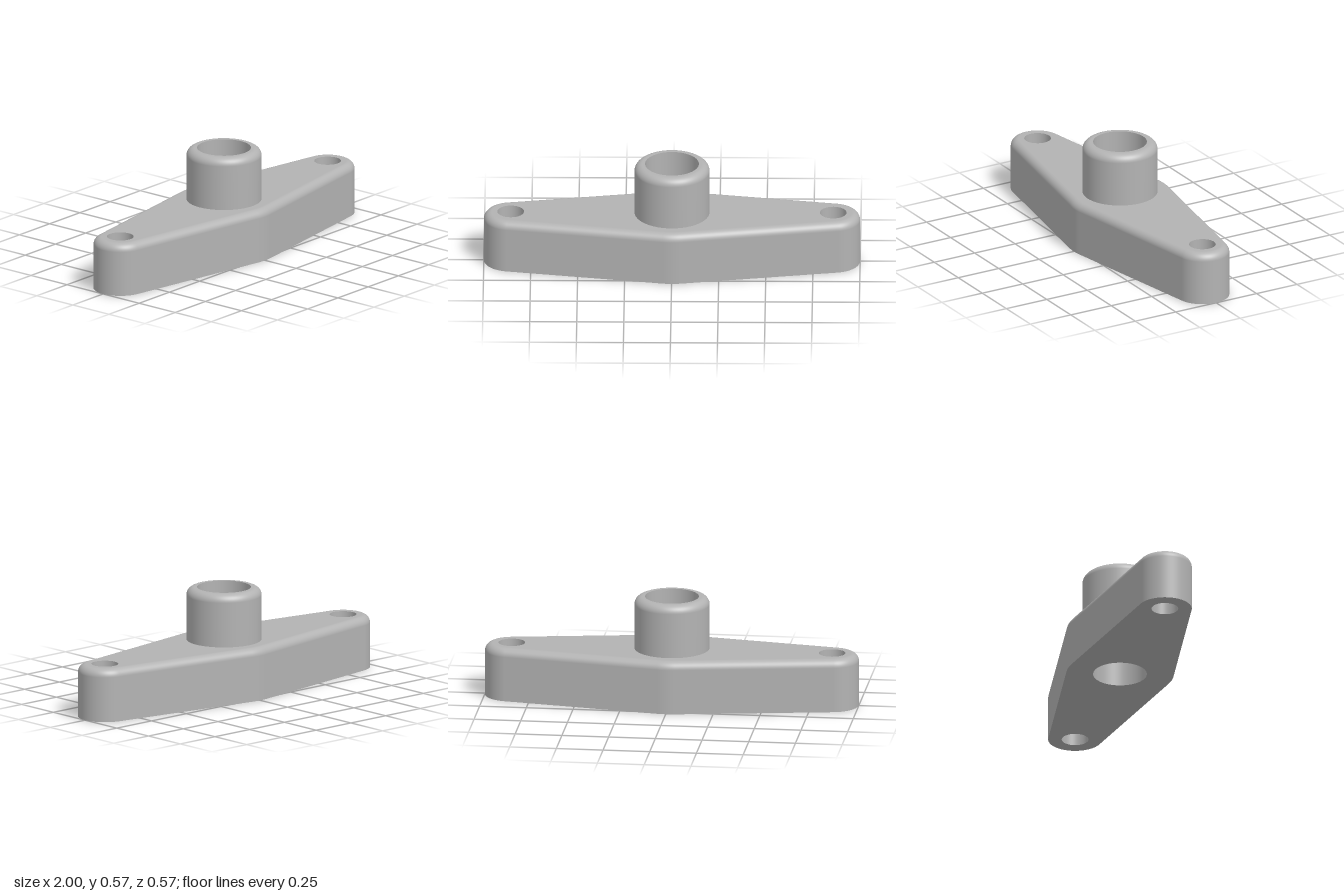
import * as THREE from 'three';

const HEIGHT = 0.286, TOP = 0.571, FILLET = 0.043;
const MID_R = 0.286, END_R = 0.143, END_X = 0.857;
const HUB_R = 0.2, BORE_R = 0.143, HOLE_R = 0.071;
const SEG = 64;

// Rounded diamond outline: arcs joined by their common tangents
function outline() {
  const a = Math.asin((MID_R - END_R) / END_X), h = Math.PI / 2;
  const arcs = [
    [END_X, END_R, -h + a, h - a, 32],
    [0, MID_R, h - a, h + a, 8],
    [-END_X, END_R, h + a, 3 * h - a, 32],
    [0, MID_R, 3 * h - a, 3 * h + a, 8],
  ];
  const pts = [];
  for (const [cx, r, from, to, n] of arcs) {
    for (let i = 0; i <= n; i++) pts.push({ cx, r, t: from + (to - from) * i / n });
  }
  return pts;
}

// Outline moved inward by d
const inset = (d) => outline().map(({ cx, r, t }) =>
  new THREE.Vector2(cx + (r - d) * Math.cos(t), (r - d) * Math.sin(t)));

// Side wall with a rounded upper edge
function wallGeometry() {
  const rows = [{ d: 0, y: 0, f: 0 }];
  for (let k = 0; k <= 10; k++) {
    const f = k / 10 * Math.PI / 2;
    rows.push({ d: FILLET * (1 - Math.cos(f)), y: HEIGHT - FILLET * (1 - Math.sin(f)), f });
  }
  const loop = outline(), n = loop.length;
  const pos = [], nor = [], idx = [];
  rows.forEach(({ d, y, f }, j) => loop.forEach(({ cx, r, t }, i) => {
    const c = Math.cos(t), s = -Math.sin(t);
    pos.push(cx + (r - d) * c, y, (r - d) * s);
    nor.push(c * Math.cos(f), Math.sin(f), s * Math.cos(f));
    if (j === rows.length - 1) return;
    const p = j * n + i, q = j * n + (i + 1) % n;
    idx.push(p, q, p + n, q, q + n, p + n);
  }));
  const g = new THREE.BufferGeometry();
  g.setAttribute('position', new THREE.Float32BufferAttribute(pos, 3));
  g.setAttribute('normal', new THREE.Float32BufferAttribute(nor, 3));
  g.setIndex(idx);
  return g;
}

// Flat face with the centre opening and two bolt holes
function faceGeometry(d, centreR) {
  const shape = new THREE.Shape(inset(d));
  for (const [x, r] of [[0, centreR], [END_X, HOLE_R], [-END_X, HOLE_R]]) {
    shape.holes.push(new THREE.Path().absarc(x, 0, r, 0, Math.PI * 2, true));
  }
  return new THREE.ShapeGeometry(shape, SEG / 2);
}

const lathe = (pts) => new THREE.LatheGeometry(pts.map(([x, y]) => new THREE.Vector2(x, y)), SEG);

export function createModel() {
  const group = new THREE.Group();
  const grey = new THREE.MeshStandardMaterial({ color: 0xb3b3b3 });
  grey.name = 'grey';
  const add = (name, geometry, x = 0, y = 0) => {
    const mesh = new THREE.Mesh(geometry, grey);
    mesh.name = name;
    mesh.position.set(x, y, 0);
    group.add(mesh);
  };

  // Flange body
  add('flangeWall', wallGeometry());
  add('flangeTop', faceGeometry(FILLET, HUB_R).rotateX(-Math.PI / 2), 0, HEIGHT);
  add('flangeBottom', faceGeometry(0, BORE_R).rotateX(Math.PI / 2));

  // Hub with a rounded rim
  const rim = [[HUB_R, HEIGHT]];
  for (let k = 0; k <= 10; k++) {
    const f = k / 10 * Math.PI / 2;
    rim.push([HUB_R - FILLET * (1 - Math.cos(f)), TOP - FILLET * (1 - Math.sin(f))]);
  }
  rim.push([BORE_R, TOP]);
  add('hub', lathe(rim));

  // Inner walls of the bore and bolt holes
  add('bore', lathe([[BORE_R, TOP], [BORE_R, 0]]));
  for (const side of [1, -1]) {
    add(side > 0 ? 'leftBoltHole' : 'rightBoltHole',
      lathe([[HOLE_R, HEIGHT], [HOLE_R, 0]]), side * END_X);
  }
  return group;
}
